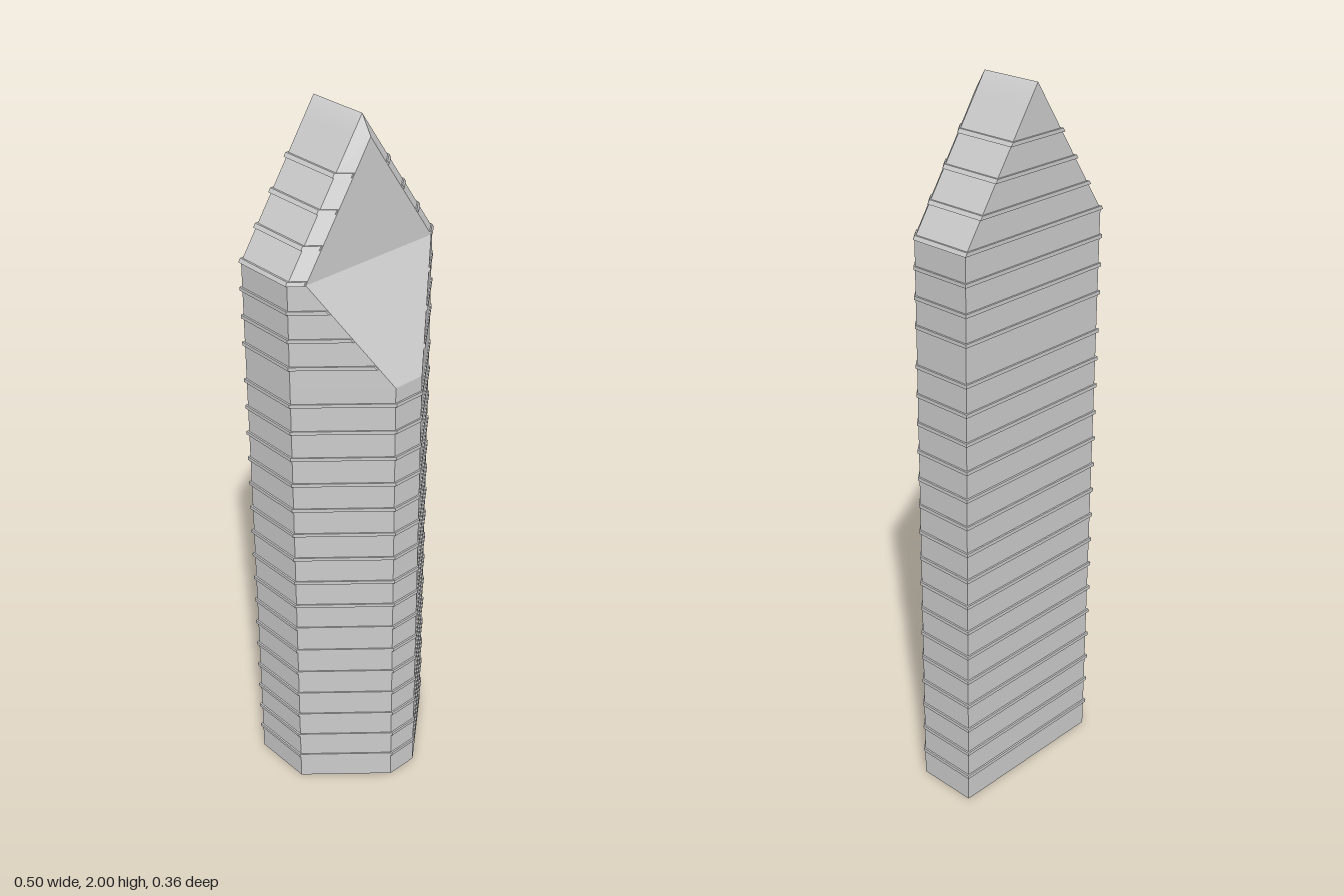
import * as THREE from 'three';

const HALF = 0.246, BACK = -0.175, FRONT = 0.175, LEDGE = 0.03;
const SLANT = 1.34, EAVES = 1.63, BEVEL = 1.95, TOP = 2;
const CHAMFER = 0.2 / 0.175; // inward run of the front facets per unit of z

// Depth of the front face at height y: shaft, sloped face, upright gable, ridge bevel
function frontZ(y) {
  if (y <= SLANT) return FRONT;
  if (y <= EAVES) return THREE.MathUtils.mapLinear(y, SLANT, EAVES, FRONT, LEDGE);
  if (y <= BEVEL) return LEDGE;
  return THREE.MathUtils.mapLinear(y, BEVEL, TOP, LEDGE, 0);
}

// Six-sided floor plan at height y, grown outwards by "grow"
function section(y, grow = 0) {
  const w = HALF * Math.min(1, (TOP - y) / (TOP - EAVES)) + grow;
  const z = frontZ(y) + (y < SLANT ? grow : grow ? -0.001 : 0);
  const xf = Math.max(0, w - z * CHAMFER);
  const b = BACK - grow;
  return [[w, b], [w, 0], [xf, z], [-xf, z], [-w, 0], [-w, b]]
    .map(([px, pz]) => new THREE.Vector3(px, y, pz));
}

// Closed skin over a stack of floor plans, with flat faces
function loft(rings) {
  const points = [];
  const tri = (a, b, c) => {
    const area = b.clone().sub(a).cross(c.clone().sub(a)).length();
    if (area > 1e-7) points.push(a, b, c);
  };
  for (let k = 0; k + 1 < rings.length; k++) {
    for (let i = 0; i < 6; i++) {
      const j = (i + 1) % 6;
      const lo = rings[k], hi = rings[k + 1];
      tri(lo[i], hi[i], lo[j]);
      tri(lo[j], hi[i], hi[j]);
    }
  }
  const first = rings[0], last = rings[rings.length - 1];
  for (let i = 1; i < 5; i++) {
    tri(first[0], first[i], first[i + 1]);
    tri(last[0], last[i + 1], last[i]);
  }
  const geometry = new THREE.BufferGeometry().setFromPoints(points);
  geometry.computeVertexNormals();
  return geometry;
}

// Shade the two roof slopes smoothly into each other at the ridge
function softenRidge(geometry) {
  const p = geometry.attributes.position, n = geometry.attributes.normal;
  for (let i = 0; i < p.count; i++) {
    const slope = Math.abs(n.getX(i)) > 0.5 && Math.abs(n.getZ(i)) < 0.01;
    if (slope && p.getY(i) > TOP - 0.001) n.setXYZ(i, 0, 1, 0);
  }
  return geometry;
}

export function createModel() {
  const group = new THREE.Group();
  const material = new THREE.MeshStandardMaterial({ color: 0xcccccc });
  const add = (name, geometry) => {
    const mesh = new THREE.Mesh(geometry, material);
    mesh.name = name;
    group.add(mesh);
  };

  // Shaft, sloped front and gabled roof
  const levels = [0, SLANT, EAVES, 1.87, BEVEL, TOP];
  add('tower', softenRidge(loft(levels.map((y) => section(y)))));

  // Thin floor bands around the shaft, then around the upper part and gable
  const floors = [];
  for (let i = 1; i <= 16; i++) floors.push(i * 0.0807);
  for (let i = 0; i < 7; i++) floors.push(1.4 + i * 0.078);
  floors.forEach((y, i) => {
    add(`floorBand${i + 1}`, loft([section(y - 0.005, 0.005), section(y + 0.005, 0.005)]));
  });

  return group;
}
